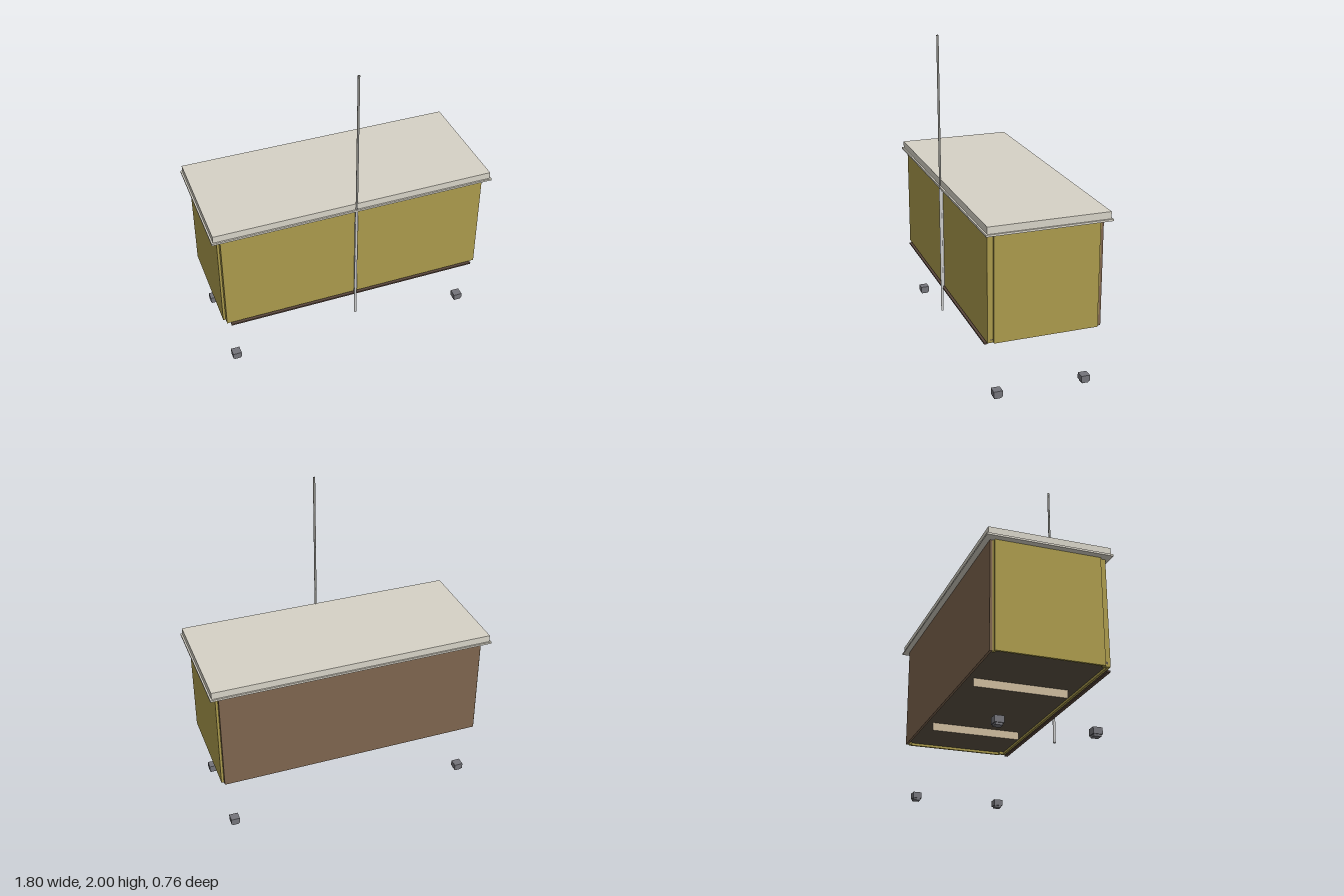
import * as THREE from 'three';

const mat = (color) => new THREE.MeshStandardMaterial({ color, flatShading: true });

export function createModel() {
  const model = new THREE.Group();
  const cream = mat(0xd6d2c6), yellow = mat(0xaa9a4c), brown = mat(0x7d644e);
  const dark = mat(0x5c5344), wood = mat(0xcbb99c), trim = mat(0x5a473c);
  const footGrey = mat(0x74747a), steel = mat(0x8c8b86), grey = mat(0xcccccc);

  // Box given by its limits on each axis
  const box = (name, material, [x0, x1], [y0, y1], [z0, z1]) => {
    const mesh = new THREE.Mesh(new THREE.BoxGeometry(x1 - x0, y1 - y0, z1 - z0), material);
    mesh.position.set((x0 + x1) / 2, (y0 + y1) / 2, (z0 + z1) / 2);
    mesh.name = name;
    model.add(mesh);
  };
  const rod = (name, material, radius, y0, y1, z) => {
    const mesh = new THREE.Mesh(new THREE.CylinderGeometry(radius, radius, y1 - y0, 12), material);
    mesh.position.set(0, (y0 + y1) / 2, z);
    mesh.name = name;
    model.add(mesh);
  };
  const mirrored = (s, a, b) => (s > 0 ? [a, b] : [-b, -a]);

  // Lid with a thin flange below
  box('lid', cream, [-0.89, 0.89], [1.067, 1.11], [-0.37, 0.37]);
  box('lidFlange', cream, [-0.9, 0.9], [1.055, 1.067], [-0.38, 0.38]);

  // Cabinet walls and floor
  const height = [0.39, 1.055];
  box('frontPanel', yellow, [-0.845, 0.845], height, [0.34, 0.355]);
  box('backPanel', brown, [-0.845, 0.845], height, [-0.345, -0.33]);
  box('floor', dark, [-0.845, 0.845], [0.405, 0.42], [-0.33, 0.34]);
  for (const s of [-1, 1]) {
    box('sidePanel', yellow, mirrored(s, 0.845, 0.86), height, [-0.32, 0.32]);
    // Recessed corner posts
    box('frontPost', yellow, mirrored(s, 0.825, 0.845), height, [0.31, 0.34]);
    box('backPost', yellow, mirrored(s, 0.825, 0.845), height, [-0.33, -0.31]);
    // Runners under the floor
    box('runner', wood, mirrored(s, 0.4, 0.41), [0.355, 0.405], [-0.288, 0.288]);
    // Feet standing apart from the cabinet
    for (const t of [-1, 1]) {
      box('foot', footGrey, mirrored(s, 0.757, 0.813), [0.012, 0.05], mirrored(t, 0.25, 0.305));
      box('footPad', footGrey, mirrored(s, 0.763, 0.807), [0, 0.012], mirrored(t, 0.256, 0.299));
    }
  }

  // Narrow trim bars along the front edges
  box('lowerBar', trim, [-0.82, 0.82], [0.372, 0.382], [0.345, 0.366]);
  box('upperBar', trim, [-0.82, 0.82], [1.043, 1.053], [0.345, 0.366]);

  // Centre strip and the long pole in front
  box('centreStrip', grey, [-0.006, 0.006], [0.39, 1.05], [0.355, 0.366]);
  rod('lowerPole', grey, 0.008, 0.22, 1.06, 0.37);
  rod('upperPole', steel, 0.007, 1.06, 2, 0.37);

  return model;
}
